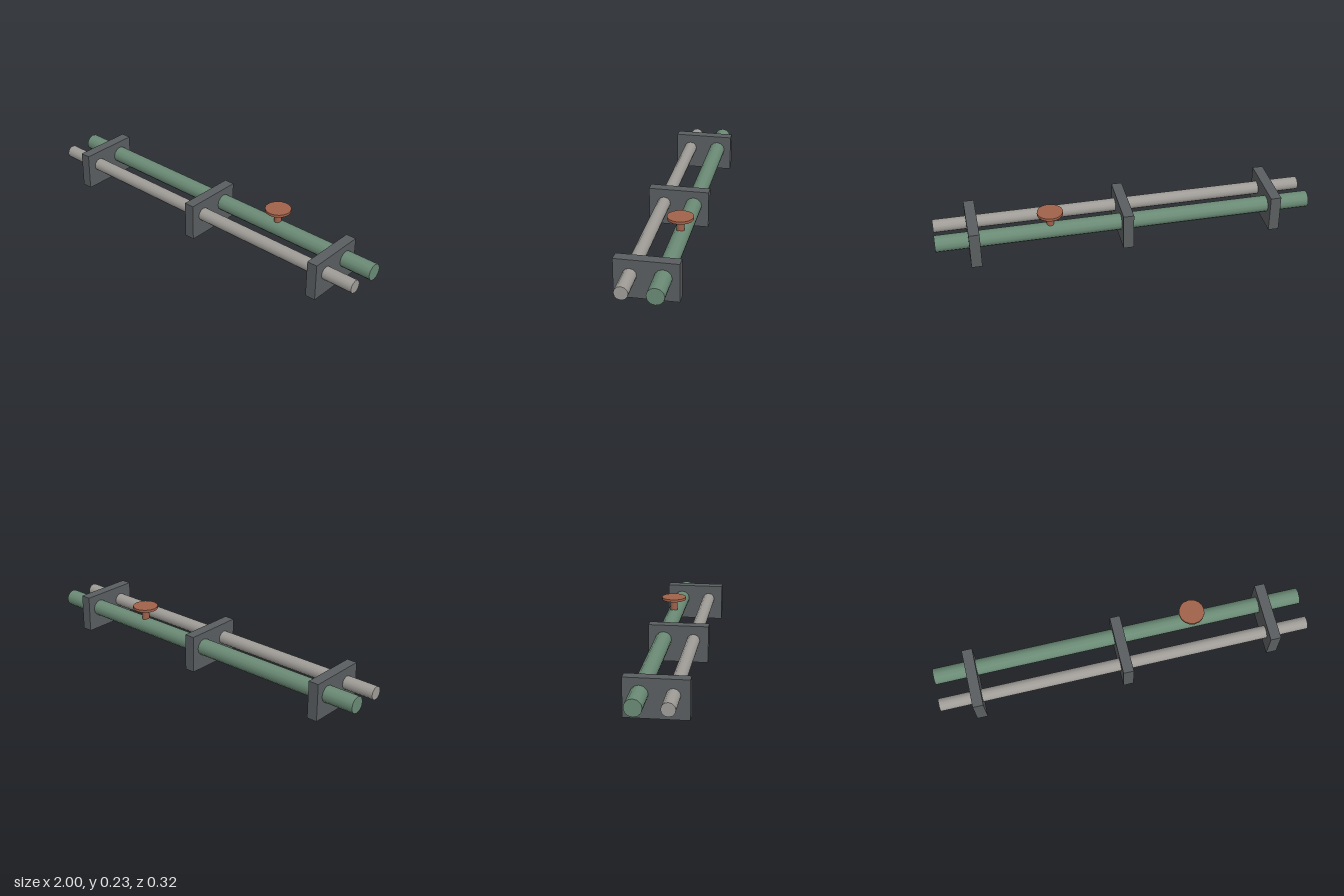
import * as THREE from 'three';

const material = (name, color) => {
  const m = new THREE.MeshStandardMaterial({ color });
  m.name = name;
  return m;
};

export function createModel() {
  const model = new THREE.Group();
  model.name = 'pipeRack';

  const steel = material('darkSteel', 0x5a5e60);
  const green = material('greenPaint', 0x6b8b76);
  const grey = material('paleGrey', 0xa09d98);
  const rust = material('rustRed', 0xa0624b);

  const add = (name, geometry, mat, x, y, z) => {
    const mesh = new THREE.Mesh(geometry, mat);
    mesh.name = name;
    mesh.position.set(x, y, z);
    model.add(mesh);
    return mesh;
  };

  // Two parallel pipes running along x
  const addPipe = (name, radius, mat, z) =>
    add(name, new THREE.CylinderGeometry(radius, radius, 2, 12).rotateZ(Math.PI / 2), mat, 0, 0.12, z);
  addPipe('largePipe', 0.044, green, -0.08);
  addPipe('smallPipe', 0.035, grey, 0.08);

  // Support blocks
  for (const x of [-0.8, 0, 0.8]) {
    add('support', new THREE.BoxGeometry(0.056, 0.2, 0.32), steel, x, 0.1, 0);
  }

  // Valve on the large pipe: stem and handwheel
  add('valveStem', new THREE.CylinderGeometry(0.02, 0.02, 0.08, 12), rust, 0.4, 0.184, -0.08);
  add('valveWheel', new THREE.CylinderGeometry(0.068, 0.068, 0.014, 16), rust, 0.4, 0.228, -0.08);

  return model;
}
